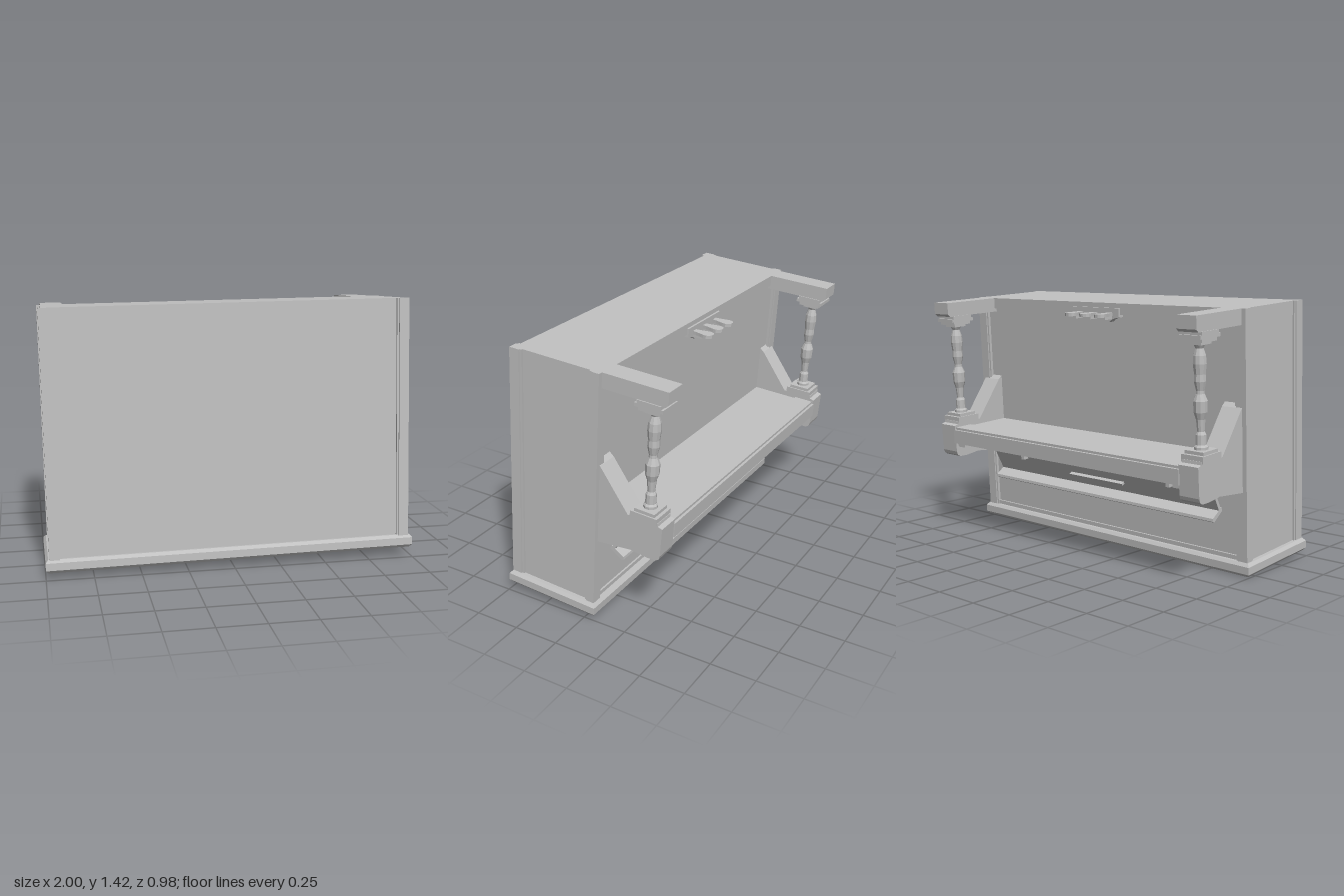
import * as THREE from 'three';

export function createModel() {
  const grey = new THREE.MeshStandardMaterial({ color: 0xc0c0c0 });
  grey.name = 'plain grey';
  const piano = new THREE.Group();
  piano.name = 'upturnedPiano';

  const add = (name, geo, parent = piano) => {
    const mesh = new THREE.Mesh(geo, grey);
    mesh.name = name;
    parent.add(mesh);
    return mesh;
  };
  // Box given by its limits on each axis
  const box = (name, x0, x1, y0, y1, z0, z1, parent) => {
    const g = new THREE.BoxGeometry(x1 - x0, y1 - y0, z1 - z0);
    g.translate((x0 + x1) / 2, (y0 + y1) / 2, (z0 + z1) / 2);
    return add(name, g, parent);
  };
  // Box mirrored to both sides
  const pair = (name, x0, x1, ...rest) => {
    box(name + 'Left', x0, x1, ...rest);
    box(name + 'Right', -x1, -x0, ...rest);
  };
  // Side profile of [z, y] points, extruded along x
  const sideProfile = (name, pts, x0, x1) => {
    const shape = new THREE.Shape(pts.map(p => new THREE.Vector2(...p)));
    const g = new THREE.ExtrudeGeometry(shape, { depth: x1 - x0, bevelEnabled: false });
    g.rotateY(-Math.PI / 2).translate(x1, 0, 0);
    return add(name, g);
  };
  const faceted = g => {
    const flat = g.toNonIndexed();
    flat.computeVertexNormals();
    return flat;
  };

  // Lid with chamfered rim, lying at the bottom
  const b = 0.014;
  const rim = new THREE.Shape();
  rim.moveTo(-1 + b, -0.492 + b);
  rim.lineTo(1 - b, -0.492 + b);
  rim.lineTo(1 - b, 0.06 - b);
  rim.lineTo(-1 + b, 0.06 - b);
  const lid = new THREE.ExtrudeGeometry(rim, {
    depth: 0.04, bevelSize: b, bevelThickness: 0.016, bevelSegments: 1,
  });
  lid.rotateX(-Math.PI / 2).translate(0, 0.016, 0);
  add('lid', lid);

  // Case: panels, base board and corner posts
  box('casePanels', -0.965, 0.965, 0.06, 1.371, -0.02, 0.464);
  box('baseRail', -0.93, 0.93, 1.31, 1.371, -0.045, 0.0);
  box('lowerRail', -0.93, 0.93, 0.07, 0.095, -0.03, 0.0);
  pair('frontPost', 0.926, 0.98, 0.06, 1.371, 0.425, 0.482);
  pair('frontPostBead', 0.915, 0.974, 0.06, 1.371, 0.411, 0.474);
  pair('backPost', 0.92, 0.98, 0.06, 1.371, -0.043, 0.003);
  pair('backPostBead', 0.91, 0.974, 0.06, 1.371, -0.036, 0.016);

  // Feet, turned columns and cheeks on both sides
  const column = [[0, 0.705], [0.036, 0.705], [0.036, 0.725], [0.028, 0.735], [0.027, 0.785],
    [0.019, 0.8], [0.024, 0.86], [0.035, 0.895], [0.037, 0.95], [0.022, 0.985], [0.021, 1.0],
    [0.031, 1.045], [0.029, 1.08], [0.035, 1.13], [0.032, 1.17], [0.02, 1.205], [0.03, 1.225],
    [0.034, 1.25], [0, 1.25]].map(p => new THREE.Vector2(...p));
  const tiers = [[0.076, 0.66, 0.695], [0.058, 0.695, 0.712], [0.04, 1.224, 1.24],
    [0.06, 1.238, 1.256], [0.078, 1.256, 1.275], [0.066, 1.275, 1.292]];
  for (const [side, s] of [['Left', 1], ['Right', -1]]) {
    const cx = 0.896 * s, cz = -0.305;
    sideProfile('foot' + side, [[-0.03, 1.371], [-0.03, 1.29], [-0.39, 1.29],
      [-0.406, 1.305], [-0.406, 1.371]], cx - 0.06, cx + 0.06);
    add('column' + side, faceted(new THREE.LatheGeometry(column, 10))).position.set(cx, 0, cz);
    for (const [h, y0, y1] of tiers) {
      const w = Math.min(h, 0.066);
      box('columnBlock' + side, cx - w, cx + w, y0, y1, cz - h, cz + h);
    }
    sideProfile('cheek' + side, [[-0.015, 0.9], [-0.045, 0.876], [-0.214, 0.661], [-0.384, 0.671],
      [-0.386, 0.655], [-0.411, 0.648], [-0.406, 0.492], [-0.4, 0.472], [-0.382, 0.46],
      [-0.33, 0.458], [-0.241, 0.467], [-0.15, 0.455], [-0.015, 0.437]], cx - 0.06, cx + 0.06);
  }

  // Key bed, key slip and the board behind the keys
  box('keyBed', -0.84, 0.84, 0.59, 0.63, -0.4, -0.015);
  box('keyBedStrip', -0.84, 0.84, 0.6, 0.638, -0.402, -0.29);
  box('keySlip', -0.84, 0.84, 0.545, 0.625, -0.416, -0.39);
  box('fallBack', -0.84, 0.84, 0.47, 0.6, -0.2, -0.015);
  pair('keyBlock', 0.78, 0.84, 0.52, 0.6, -0.39, -0.2);

  // Keys, facing down
  const keys = new THREE.Group();
  keys.name = 'keys';
  piano.add(keys);
  const pitch = 1.56 / 52;
  for (let i = 0; i < 52; i++) {
    const x = 0.78 - i * pitch;
    box('whiteKey', x - pitch + 0.003, x, 0.54, 0.592, -0.382, -0.2, keys);
    if (i < 51 && [0, 2, 3, 5, 6].includes(i % 7)) {
      box('blackKey', x - pitch - 0.007, x - pitch + 0.009, 0.524, 0.545, -0.31, -0.2, keys);
    }
  }

  // Open key lid with its lip, music ledge and stops
  sideProfile('keyLid', [[-0.122, 0.46], [-0.107, 0.47], [-0.045, 0.336],
    [-0.06, 0.326]], -0.82, 0.82);
  sideProfile('keyLidLip', [[-0.04, 0.342], [-0.032, 0.322], [-0.104, 0.275],
    [-0.116, 0.282], [-0.114, 0.297]], -0.82, 0.82);
  sideProfile('musicLedge', [[-0.083, 0.4], [-0.079, 0.386], [-0.104, 0.374],
    [-0.11, 0.386]], -0.2, 0.2);
  for (const x of [-0.55, 0.55]) box('lidStop', x - 0.012, x + 0.012, 0.43, 0.46, -0.145, -0.11);

  // Pedal plate and three pedals
  const plate = new THREE.Shape();
  plate.moveTo(-0.17, 1.345);
  plate.lineTo(-0.17, 1.295);
  plate.quadraticCurveTo(-0.12, 1.29, -0.1, 1.268);
  plate.lineTo(0.1, 1.268);
  plate.quadraticCurveTo(0.12, 1.29, 0.17, 1.295);
  plate.lineTo(0.17, 1.345);
  const plateGeo = new THREE.ExtrudeGeometry(plate, { depth: 0.04, bevelEnabled: false, curveSegments: 4 });
  add('pedalPlate', plateGeo.translate(0, 0, -0.056));
  const pedal = new THREE.Shape();
  pedal.moveTo(-0.017, 0);
  pedal.lineTo(0.017, 0);
  pedal.bezierCurveTo(0.02, 0.05, 0.032, 0.06, 0.032, 0.09);
  pedal.bezierCurveTo(0.03, 0.125, -0.03, 0.125, -0.032, 0.09);
  pedal.bezierCurveTo(-0.032, 0.06, -0.02, 0.05, -0.017, 0);
  for (const x of [-0.108, 0, 0.108]) {
    const g = new THREE.ExtrudeGeometry(pedal, { depth: 0.018, bevelEnabled: false, curveSegments: 5 });
    g.rotateX(-Math.PI / 2);
    add('pedal', g).position.set(x, 1.302, -0.052);
    box('pedalStem', x - 0.012, x + 0.012, 1.285, 1.305, -0.11, -0.05);
  }

  // Slight lean of the whole piece, then rest it on the ground
  piano.rotation.set(-0.062, 0, 0.01);
  const model = new THREE.Group();
  model.name = 'model';
  model.add(piano);
  model.updateMatrixWorld(true);
  const bounds = new THREE.Box3().setFromObject(model, true);
  const c = bounds.getCenter(new THREE.Vector3());
  piano.position.set(-c.x, -bounds.min.y, -c.z);
  return model;
}
